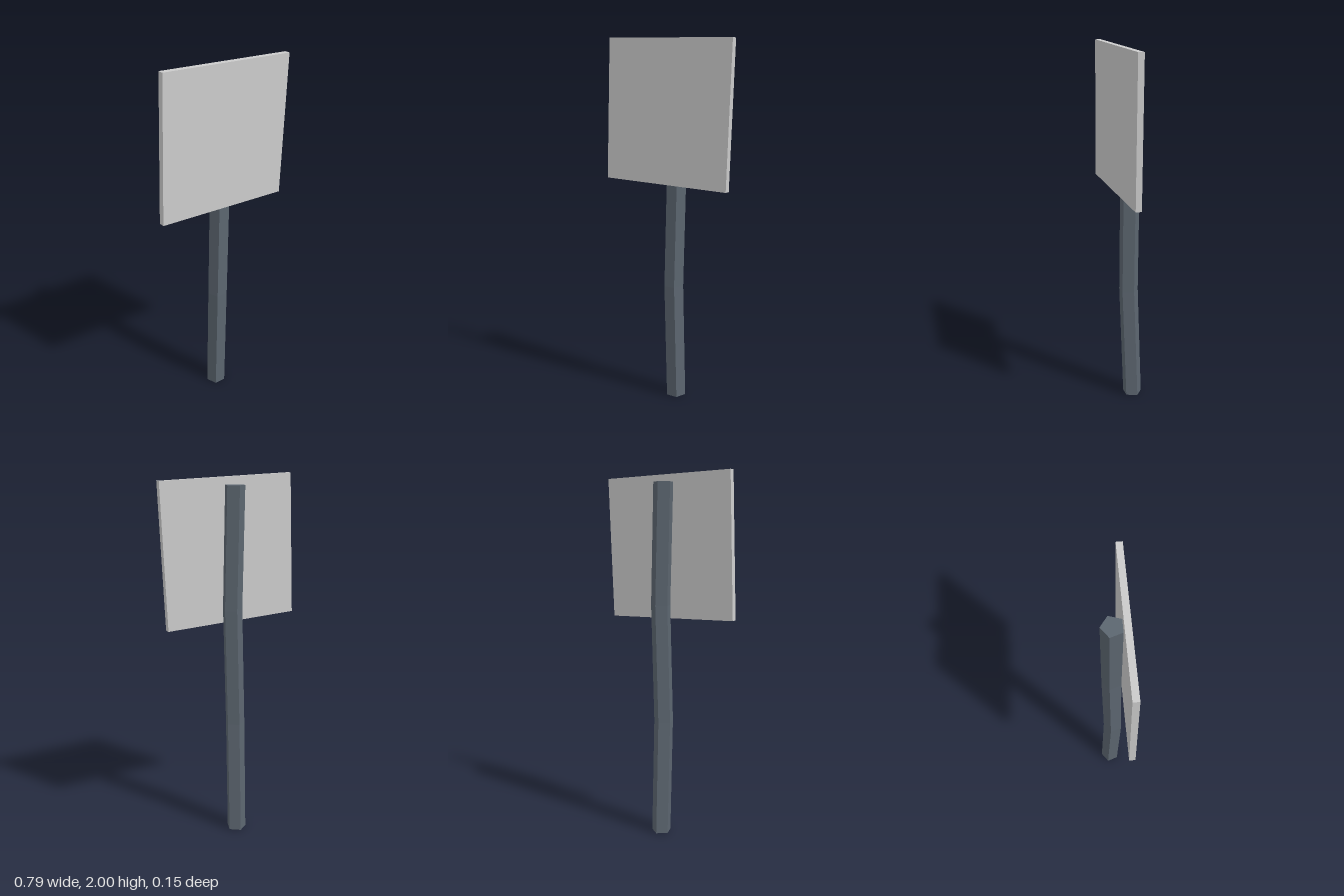
import * as THREE from 'three';

export function createModel() {
  const model = new THREE.Group();

  // Five-sided post, slightly crooked: each ring is shifted to its own centre
  const height = 1.945;
  const centres = [[-0.001, -0.022], [-0.003, -0.001], [0.014, -0.004], [-0.002, -0.003]];
  const steps = centres.length - 1;
  const postGeometry = new THREE.CylinderGeometry(0.055, 0.055, height, 5, steps, false, Math.PI);
  postGeometry.translate(0, height / 2, 0);
  const pos = postGeometry.attributes.position;
  for (let i = 0; i < pos.count; i++) {
    const [dx, dz] = centres[Math.round((pos.getY(i) / height) * steps)];
    pos.setX(i, pos.getX(i) + dx);
    pos.setZ(i, pos.getZ(i) + dz);
  }
  postGeometry.computeVertexNormals();
  const post = new THREE.Mesh(
    postGeometry,
    new THREE.MeshStandardMaterial({ color: 0x5c6670, flatShading: true })
  );
  post.name = 'post';
  model.add(post);

  // Square sign board, hung a little askew on the front of the post
  const board = new THREE.Mesh(
    new THREE.BoxGeometry(0.765, 0.765, 0.032),
    new THREE.MeshStandardMaterial({ color: 0xcccccc, flatShading: true })
  );
  board.name = 'signBoard';
  board.position.set(-0.002, 1.603, 0.061);
  board.rotation.z = -0.038;
  model.add(board);

  return model;
}
